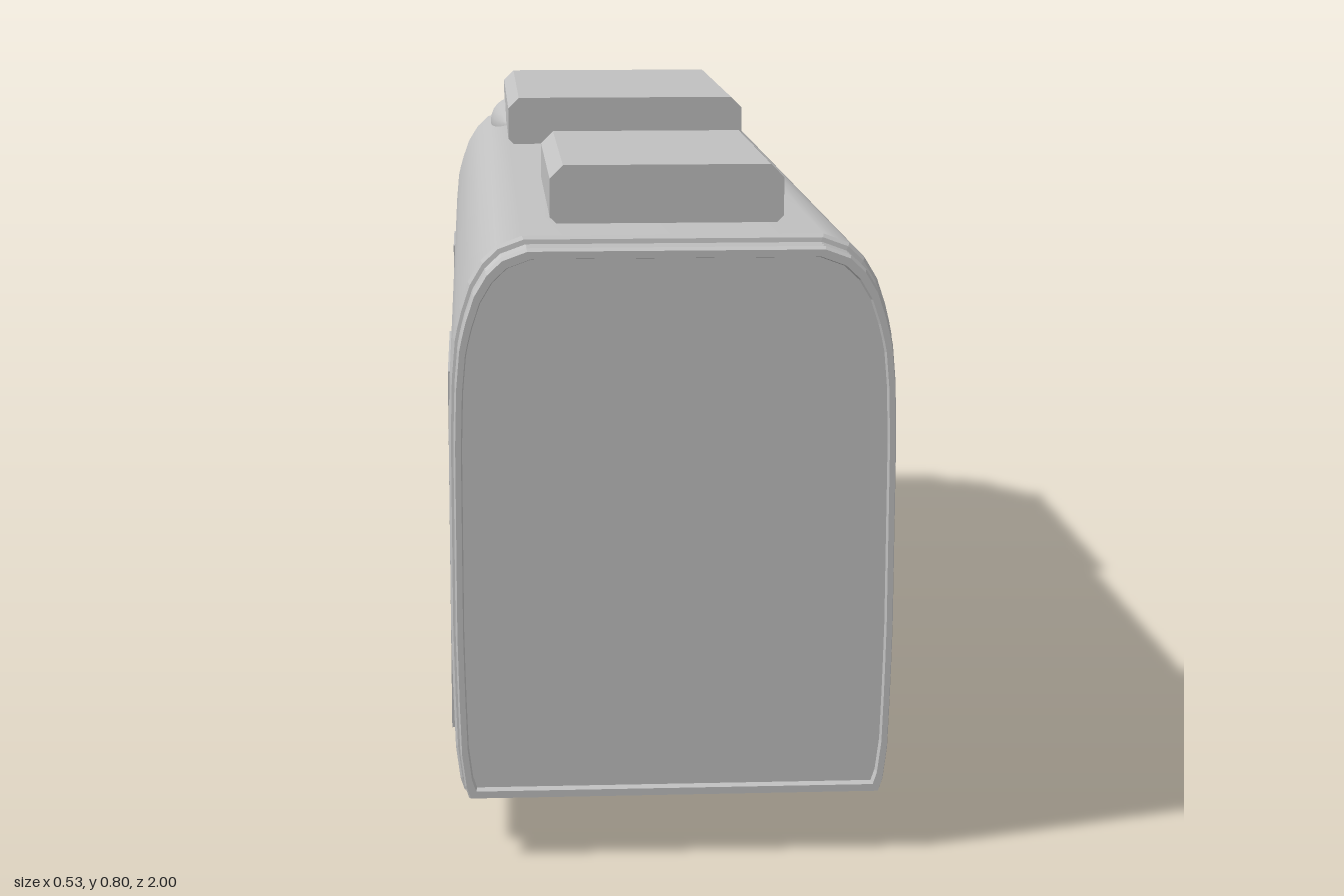
import * as THREE from 'three';

// Nose and side profile per height: y, half width, front z, depth of the rounded nose
const ROWS = [
  [0.065, 0.248, -0.965, 0.24], [0.08, 0.253, -0.984, 0.25], [0.12, 0.258, -0.997, 0.25],
  [0.18, 0.26, -1, 0.25], [0.22, 0.261, -0.994, 0.25], [0.27, 0.262, -0.975, 0.25],
  [0.33, 0.262, -0.946, 0.23], [0.4, 0.262, -0.91, 0.2], [0.5, 0.262, -0.855, 0.155],
  [0.57, 0.26, -0.815, 0.125], [0.615, 0.256, -0.785, 0.105], [0.63, 0.253, -0.757, 0.1],
  [0.65, 0.248, -0.725, 0.09], [0.68, 0.238, -0.7, 0.08], [0.705, 0.223, -0.683, 0.07],
  [0.722, 0.205, -0.673, 0.06], [0.733, 0.175, -0.665, 0.05]
];
const REAR = 0.94, WINDOW_ANGLE = 1.014, WINDOW_BOTTOM = 5, WINDOW_TOP = 10;

// Point on the rounded nose at a row and sweep angle
function nosePoint([y, w, front, depth], t) {
  const s = Math.sin(t), c = Math.max(0, Math.cos(t));
  return [w * Math.sign(s) * Math.abs(s) ** 0.8, y, front + depth * (1 - c ** 0.8)];
}

// Loft of the whole shell, with the windscreen as its own material group
function shellGeometry() {
  const angles = [];
  for (let i = 0; i < 7; i++) angles.push(Math.PI / 2 + (WINDOW_ANGLE - Math.PI / 2) * i / 7);
  for (let i = 0; i <= 24; i++) angles.push(WINDOW_ANGLE * (1 - i / 12));
  for (let i = 6; i >= 0; i--) angles.push(-angles[i]);
  const n = angles.length + 2, pos = [], body = [], glass = [];
  for (const row of ROWS) {
    pos.push(row[1], row[0], REAR);
    for (const t of angles) pos.push(...nosePoint(row, t));
    pos.push(-row[1], row[0], REAR);
  }
  for (let j = 0; j < ROWS.length - 1; j++) {
    for (let i = 0; i < n - 1; i++) {
      const a = j * n + i, b = a + 1, c = b + n, d = a + n;
      const inGlass = j >= WINDOW_BOTTOM && j < WINDOW_TOP && i >= 8 && i < 32;
      (inGlass ? glass : body).push(a, b, c, a, c, d);
    }
  }
  // Roof shares its rim with the shoulders; floor has a sharp rim
  const last = (ROWS.length - 1) * n, roofMid = pos.length / 3;
  pos.push(0, 0.735, 0);
  const floor = roofMid + 1;
  for (let i = 0; i < n; i++) pos.push(...pos.slice(i * 3, i * 3 + 3));
  const floorMid = floor + n;
  pos.push(0, ROWS[0][0], 0);
  for (let i = 0; i < n; i++) {
    const k = (i + 1) % n;
    body.push(roofMid, last + i, last + k, floorMid, floor + k, floor + i);
  }
  const g = new THREE.BufferGeometry();
  g.setAttribute('position', new THREE.Float32BufferAttribute(pos, 3));
  g.setIndex([...body, ...glass]);
  g.addGroup(0, body.length, 0);
  g.addGroup(body.length, glass.length, 1);
  g.computeVertexNormals();
  return g;
}

// Ribbed gangway: scaled copies of the body section, closed by a recessed end panel
function gangwayGeometry() {
  const half = ROWS.map(([y, w]) => [w, y]);
  const ring = [...half, ...half.slice().reverse().map(([x, y]) => [-x, y])];
  const loops = [[0.94, 1], [0.948, 0.99], [0.95, 0.96], [0.958, 0.978], [0.966, 0.96], [0.974, 0.978],
    [0.982, 0.96], [0.99, 0.978], [1, 0.97], [1, 0.945], [0.99, 0.94], [0.99, 0]];
  const n = ring.length, pos = [], idx = [];
  for (const [z, s] of loops) for (const [x, y] of ring) pos.push(x * s, 0.4 + (y - 0.4) * s, z);
  for (let j = 0; j < loops.length - 1; j++) {
    for (let i = 0; i < n; i++) {
      const a = j * n + i, b = j * n + (i + 1) % n;
      idx.push(a, b, b + n, a, b + n, a + n);
    }
  }
  const g = new THREE.BufferGeometry();
  g.setAttribute('position', new THREE.Float32BufferAttribute(pos, 3));
  g.setIndex(idx);
  const flat = g.toNonIndexed();
  flat.computeVertexNormals();
  return flat;
}

// Roof unit with cut corners, running along z
function roofUnitGeometry(w, y0, y1, z0, z1) {
  const c = 0.016;
  const shape = new THREE.Shape([[-w + c, y0], [w - c, y0], [w, y0 + c], [w, y1 - c], [w - c, y1],
    [-w + c, y1], [-w, y1 - c], [-w, y0 + c]].map(p => new THREE.Vector2(...p)));
  return new THREE.ExtrudeGeometry(shape, { depth: z1 - z0, bevelEnabled: false }).translate(0, 0, z0);
}

export function createModel() {
  const model = new THREE.Group();
  const grey = new THREE.MeshStandardMaterial({ color: 0xc0c0c0 });
  grey.name = 'bodyGrey';
  const dark = new THREE.MeshStandardMaterial({ color: 0x39434a });
  dark.name = 'windscreenDark';
  const add = (name, geometry, material = grey, x = 0, y = 0, z = 0) => {
    const mesh = new THREE.Mesh(geometry, material);
    mesh.name = name;
    mesh.position.set(x, y, z);
    model.add(mesh);
    return mesh;
  };

  add('bodyShell', shellGeometry(), [grey, dark]);
  add('gangway', gangwayGeometry());
  add('frontRoofUnit', roofUnitGeometry(0.177, 0.725, 0.803, -0.59, -0.06));
  add('rearRoofUnit', roofUnitGeometry(0.14, 0.725, 0.803, 0.44, 0.84));

  // Sloping fairing ahead of the front roof unit
  const slope = new THREE.Shape([[0.34, 0.725], [0.665, 0.725], [0.655, 0.738], [0.62, 0.752],
    [0.58, 0.762], [0.4, 0.758]].map(p => new THREE.Vector2(...p)));
  const fairing = new THREE.ExtrudeGeometry(slope, { depth: 0.34, bevelEnabled: false });
  add('roofFairing', fairing.rotateY(Math.PI / 2).translate(-0.17, 0, 0));

  for (const side of [-1, 1]) {
    add('fairingBulge', new THREE.SphereGeometry(1, 24, 12).scale(0.034, 0.036, 0.13), grey, side * 0.167, 0.728, -0.48);

    // Door panels
    add('rearDoor', new THREE.BoxGeometry(0.006, 0.45, 0.28), grey, side * 0.2605, 0.325, 0.67);
    add('frontDoor', new THREE.BoxGeometry(0.006, 0.45, 0.17), grey, side * 0.2605, 0.325, -0.345);

    // Headlamp clusters
    for (const t of [0.37, 0.45, 0.53]) {
      const [x, y, z] = nosePoint(ROWS[4], side * t);
      add('headlamp', new THREE.SphereGeometry(0.009, 12, 8), grey, x, y - 0.01, z);
    }

    // Wheels with an inner flange
    for (const z of [0.36, -0.035]) {
      const disc = (r, w) => new THREE.CylinderGeometry(r, r, w, 32).rotateZ(Math.PI / 2);
      add('wheel', disc(0.058, 0.026), grey, side * 0.167, 0.065, z);
      add('wheelFlange', disc(0.065, 0.009), grey, side * 0.158, 0.065, z);
    }
  }

  for (const z of [0.36, -0.035]) {
    add('axle', new THREE.CylinderGeometry(0.006, 0.006, 0.31, 12).rotateZ(Math.PI / 2), grey, 0, 0.063, z);
  }
  add('windscreenBar', new THREE.BoxGeometry(0.3, 0.012, 0.02), grey, 0, 0.607, -0.795);
  return model;
}
